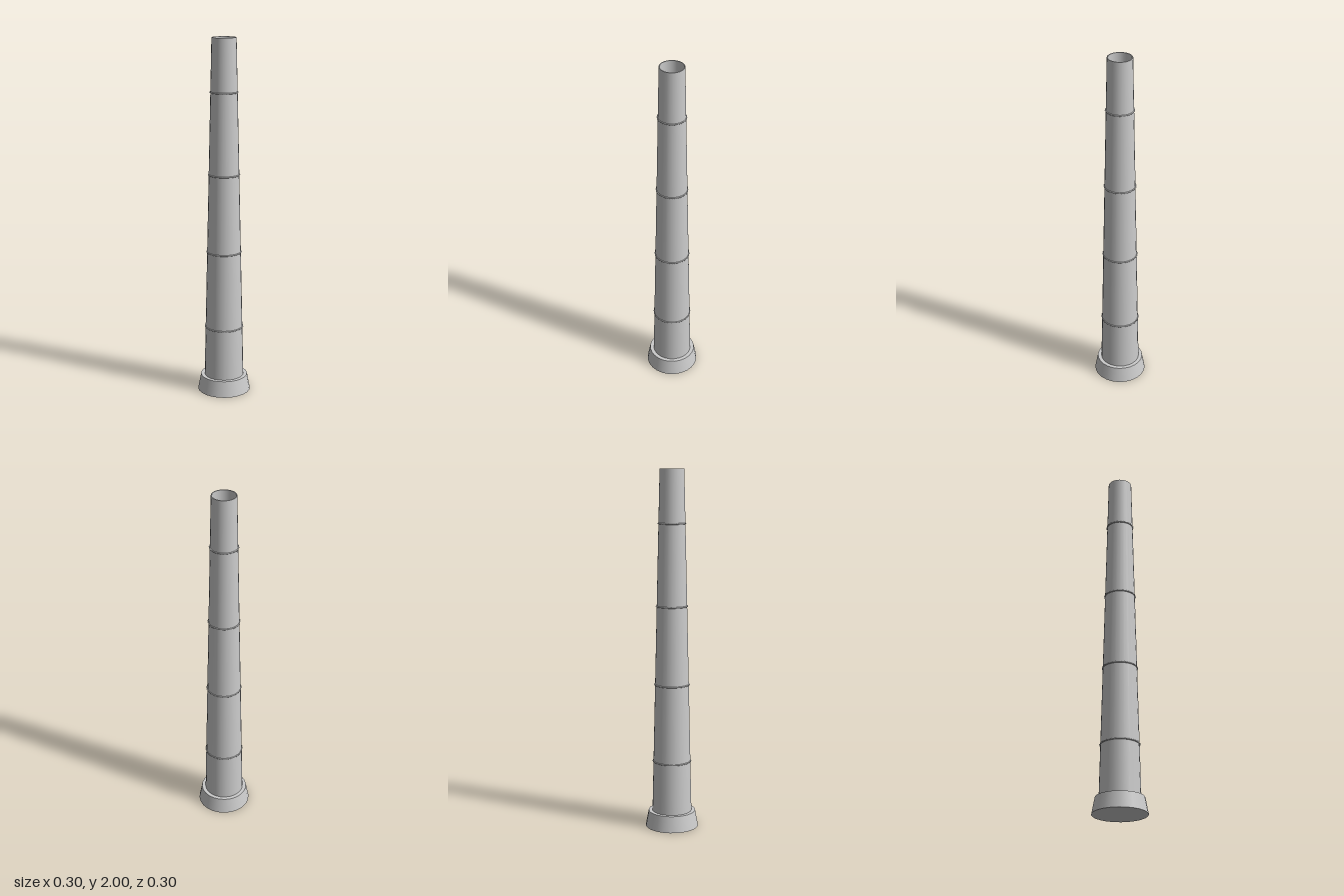
import * as THREE from 'three';

const BASE_H = 0.09, TOP = 2, R_LOW = 0.111, R_HIGH = 0.067, WALL = 0.005, SIDES = 24;

// Outer shaft radius at a given height
const radiusAt = (y) => THREE.MathUtils.mapLinear(y, BASE_H, TOP, R_LOW, R_HIGH);

export function createModel() {
  const model = new THREE.Group();
  model.name = 'chimney';
  const mat = new THREE.MeshStandardMaterial({ color: 0xcccccc });
  const shellMat = new THREE.MeshStandardMaterial({ color: 0xcccccc, side: THREE.DoubleSide });

  const add = (parent, name, geo, y, material = mat) => {
    const mesh = new THREE.Mesh(geo, material);
    mesh.name = name;
    mesh.position.y = y;
    parent.add(mesh);
    return mesh;
  };

  // Flared foot, closed top and bottom
  add(model, 'base', new THREE.CylinderGeometry(0.132, 0.149, BASE_H, SIDES), BASE_H / 2);

  // Hollow tapered shaft with a thin wall and a flat rim
  const h = TOP - BASE_H, mid = BASE_H + h / 2;
  add(model, 'shaftOuterWall', new THREE.CylinderGeometry(R_HIGH, R_LOW, h, SIDES, 1, true), mid, shellMat);
  add(model, 'shaftInnerWall',
    new THREE.CylinderGeometry(R_HIGH - WALL, R_LOW - WALL, h, SIDES, 1, true), mid, shellMat);
  // Same starting angle as the cylinders, so the corners meet
  add(model, 'rim', new THREE.RingGeometry(R_HIGH - WALL, R_HIGH, SIDES).rotateX(-Math.PI / 2), TOP);

  // Riveted joint bands
  const rivetGeo = new THREE.SphereGeometry(0.0022, 8, 6);
  [0.378, 0.817, 1.256, 1.708].forEach((y, i) => {
    const joint = new THREE.Group();
    joint.name = `joint${i + 1}`;
    joint.position.y = y;
    const r = radiusAt(y);
    add(joint, 'band', new THREE.TorusGeometry(r, 0.004, 8, SIDES).rotateX(Math.PI / 2), 0);
    for (let k = 0; k < 24; k++) {
      const a = ((k + 0.5) / 24) * Math.PI * 2;
      const rivet = add(joint, 'rivet', rivetGeo, 0);
      rivet.position.set(Math.cos(a) * (r + 0.0035), 0, Math.sin(a) * (r + 0.0035));
    }
    model.add(joint);
  });

  return model;
}
